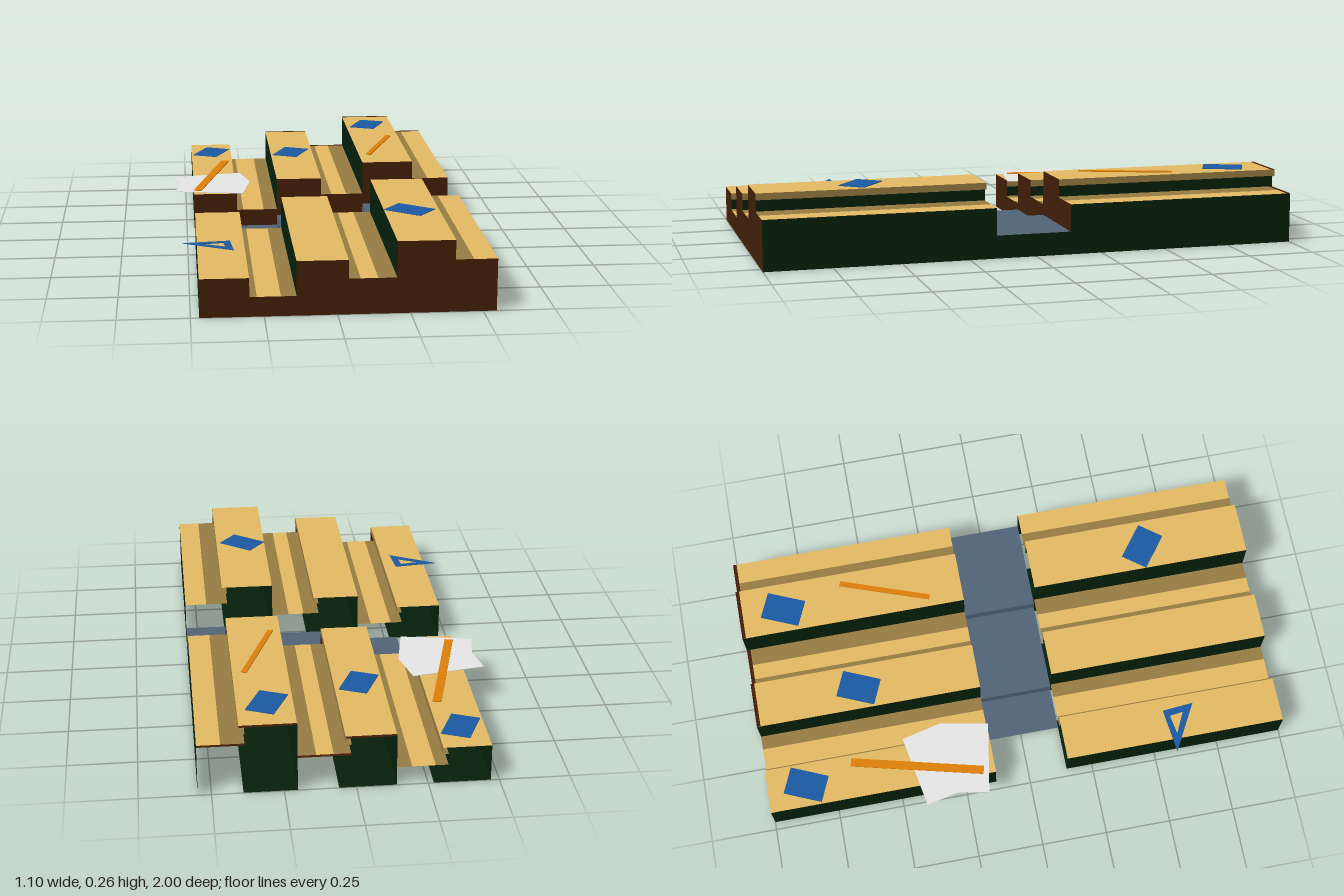
import * as THREE from 'three';

const mat = (name, color) => {
  const m = new THREE.MeshStandardMaterial({ color, side: THREE.DoubleSide });
  m.name = name;
  return m;
};

export function createModel() {
  const tan = mat('tan wood', 0xe4ba64);
  const darkTan = mat('dark tan wood', 0x987c42);
  const brown = mat('dark brown wood', 0x421d07);
  const green = mat('dark green', 0x06200a);
  const slate = mat('slate carpet', 0x526478);
  const blue = mat('blue', 0x1a5aa2);
  const orange = mat('orange', 0xe0800a);
  const white = mat('paper white', 0xe8e8e8);

  const group = new THREE.Group();
  const add = (name, geo, material, x = 0, y = 0, z = 0) => {
    const mesh = new THREE.Mesh(geo, material);
    mesh.name = name;
    mesh.position.set(x, y, z);
    group.add(mesh);
    return mesh;
  };
  // Upright sheet facing +x
  const sideWall = (name, material, x, y0, y1, z0, z1) => {
    const g = new THREE.PlaneGeometry(z1 - z0, y1 - y0).rotateY(Math.PI / 2);
    return add(name, g, material, x, (y0 + y1) / 2, (z0 + z1) / 2);
  };
  // Level sheet facing up
  const floor = (name, material, x0, x1, y, z0, z1) => {
    const g = new THREE.PlaneGeometry(x1 - x0, z1 - z0).rotateX(-Math.PI / 2);
    return add(name, g, material, (x0 + x1) / 2, y, (z0 + z1) / 2);
  };
  // Flat outline given in x, z
  const outline = pts => pts.map(([x, z]) => new THREE.Vector2(x, -z));
  const sheet = (name, material, pts, y, hole) => {
    const s = new THREE.Shape(outline(pts));
    if (hole) s.holes.push(new THREE.Path(outline(hole)));
    const g = new THREE.ExtrudeGeometry(s, { depth: 0.002, bevelEnabled: false });
    return add(name, g.rotateX(-Math.PI / 2), material, 0, y, 0);
  };

  // Each row: desk from x0 to x1 at height top, then walkway to x2 at height walk.
  // The walkway is light between a and b, with darker bands on both sides.
  const rows = [
    { x0: -0.47, x1: -0.3, x2: -0.14, top: 0.137, walk: 0.07, base: -0.27, a: -0.275, b: -0.193 },
    { x0: -0.14, x1: 0.037, x2: 0.203, top: 0.193, walk: 0.127, base: 0.06, a: 0.078, b: 0.138 },
    { x0: 0.203, x1: 0.402, x2: 0.547, top: 0.255, walk: 0.186, base: 0.39, a: 0.465, b: 0.547 },
  ];
  const lipHeight = 0.025;

  // Stepped front panel
  const profile = new THREE.Shape();
  profile.moveTo(-0.47, 0);
  for (const r of rows) {
    profile.lineTo(r.x0, r.top);
    profile.lineTo(r.x1, r.top);
    profile.lineTo(r.x1, r.walk);
    profile.lineTo(r.x2, r.walk);
  }
  profile.lineTo(0.547, 0);
  const panel = new THREE.ShapeGeometry(profile);

  // Two seating blocks, open at the back
  for (const [z0, z1] of [[-1, -0.13], [0.15, 1]]) {
    add('frontPanel', panel, brown, 0, 0, z1);
    for (const r of rows) {
      const edged = z0 < 0 && r.x0 > -0.4;
      const rear = edged ? z0 + 0.014 : z0;
      const under = r.x1 - 0.02;
      // Desk top with a lip over a recessed riser
      floor('deskTop', tan, r.x0, r.x1, r.top, rear, z1);
      sideWall('deskLip', darkTan, r.x1, r.top - lipHeight, r.top, z0, z1);
      floor('deskUnderside', darkTan, under, r.x1, r.top - lipHeight, z0, z1);
      sideWall('riser', green, under, r.walk, r.top - lipHeight, z0, z1);
      sideWall('deskBack', green, r.x0, 0, r.top - 0.002, z0, z1);
      floor('rowBase', green, r.x0, r.base, 0.001, z0, z1);
      // Walkway
      floor('walkwayInnerBand', darkTan, under, r.a, r.walk, rear, z1);
      floor('walkway', tan, r.a, r.b, r.walk, rear, z1);
      if (r.b < r.x2) floor('walkwayOuterBand', darkTan, r.b, r.x2, r.walk, rear, z1);
      // Dark rear edges
      if (edged) {
        floor('deskRearEdge', brown, r.x0, r.x1, r.top, z0, rear);
        floor('walkwayRearEdge', brown, under, r.x2, r.walk, z0, rear);
      }
    }
    sideWall('outerWall', green, 0.547, 0, 0.186, z0, z1);
  }
  // Sill under the foremost panel
  floor('frontSill', brown, -0.469, 0.546, 0, 0.95, 1);

  // Cross aisle: three shallow steps with risers
  sideWall('aisleWall', green, 0.547, 0, 0.085, -0.13, 0.15);
  const steps = [[-0.3, -0.14, 0.005], [-0.14, 0.203, 0.045], [0.203, 0.547, 0.085]];
  steps.forEach(([x0, x1, y], i) => {
    floor('aisleStep', slate, x0, x1, y, -0.13, 0.15);
    if (i) sideWall('aisleRiser', slate, x0, steps[i - 1][2], y, -0.13, 0.15);
  });

  // Blue books on the desks: x, y, z, turn
  for (const [x, y, z, turn] of [
    [-0.385, 0.138, -0.852, -0.41], [-0.055, 0.194, -0.592, -0.41],
    [0.295, 0.256, -0.828, -0.41], [0.295, 0.256, 0.6, 0.92],
  ]) {
    add('book', new THREE.BoxGeometry(0.105, 0.003, 0.15), blue, x, y, z).rotation.y = turn;
  }

  // Set square
  sheet('setSquare', blue, [[-0.52, 0.57], [-0.35, 0.55], [-0.34, 0.67]], 0.138,
    [[-0.45, 0.585], [-0.375, 0.573], [-0.368, 0.625]]);

  // Large paper sheet
  sheet('paper', white, [[-0.55, -0.41], [-0.275, -0.46], [-0.24, -0.31],
    [-0.275, -0.125], [-0.545, -0.17], [-0.525, -0.29]], 0.138);

  // Rulers: ends, width, height
  for (const [xa, za, xb, zb, w, y] of [
    [-0.33, -0.67, -0.455, -0.175, 0.032, 0.141],
    [0.36, -0.595, 0.24, -0.26, 0.02, 0.257],
  ]) {
    const g = new THREE.BoxGeometry(w, 0.004, Math.hypot(xb - xa, zb - za));
    add('ruler', g, orange, (xa + xb) / 2, y, (za + zb) / 2).rotation.y = Math.atan2(xb - xa, zb - za);
  }
  return group;
}
